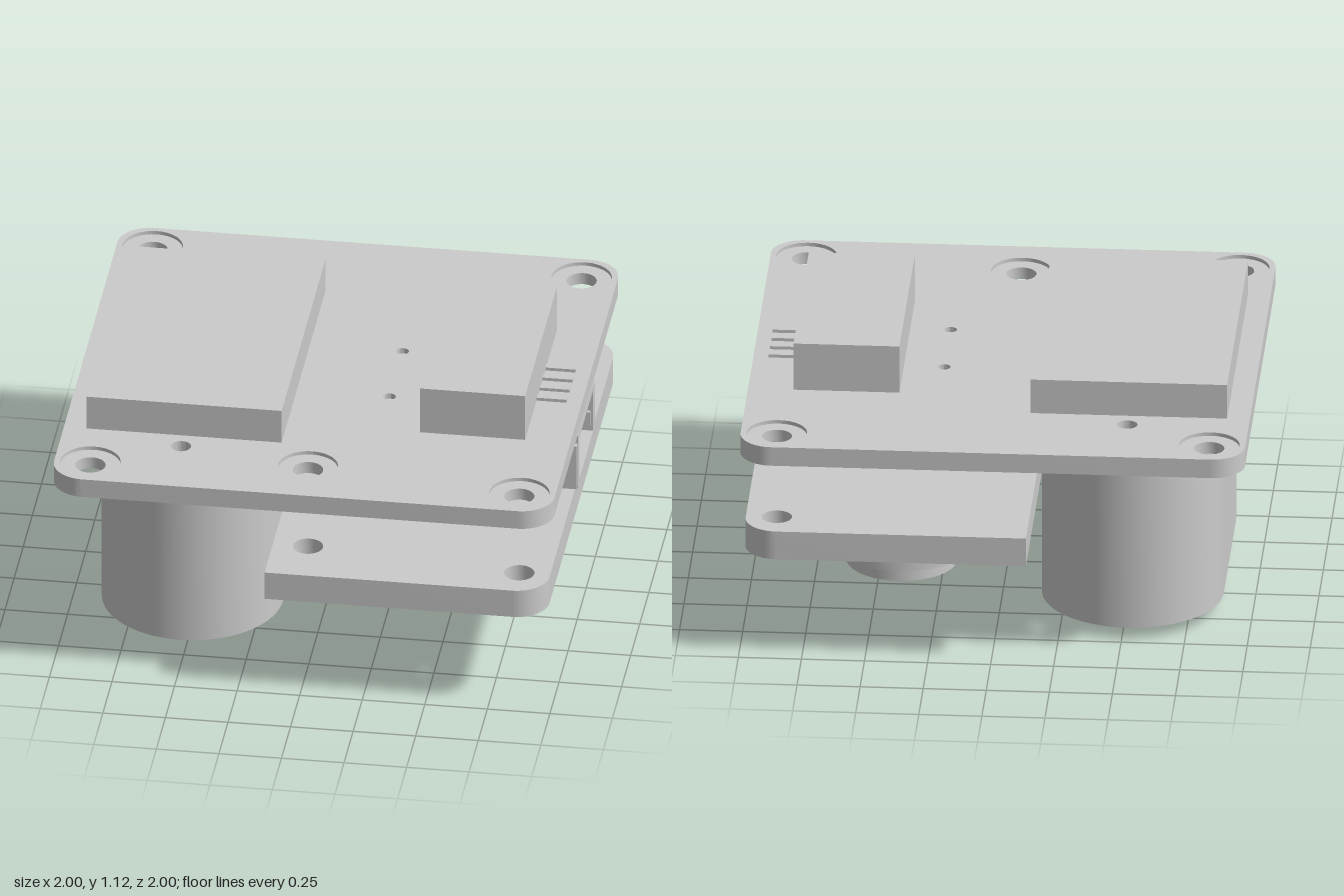
import * as THREE from 'three';
import { toCreasedNormals } from 'three/addons/utils/BufferGeometryUtils.js';

const material = new THREE.MeshStandardMaterial({ color: 0xcccccc });

// Rectangle outline with separate corner radii on its low and high first-axis side
function outline(x0, x1, y0, y1, rLow = 0, rHigh = 0) {
  const s = new THREE.Shape();
  s.moveTo(x0 + rLow, y0).lineTo(x1 - rHigh, y0);
  if (rHigh) s.absarc(x1 - rHigh, y0 + rHigh, rHigh, -Math.PI / 2, 0, false);
  s.lineTo(x1, y1 - rHigh);
  if (rHigh) s.absarc(x1 - rHigh, y1 - rHigh, rHigh, 0, Math.PI / 2, false);
  s.lineTo(x0 + rLow, y1);
  if (rLow) s.absarc(x0 + rLow, y1 - rLow, rLow, Math.PI / 2, Math.PI, false);
  s.lineTo(x0, y0 + rLow);
  if (rLow) s.absarc(x0 + rLow, y0 + rLow, rLow, Math.PI, Math.PI * 1.5, false);
  return s;
}

function circle(x, y, r) {
  return new THREE.Path().absarc(x, y, r, 0, Math.PI * 2, true);
}

function extrude(shape, depth) {
  const g = new THREE.ExtrudeGeometry(shape, { depth, bevelEnabled: false, curveSegments: 16 });
  return toCreasedNormals(g, 0.6);
}

export function createModel() {
  const model = new THREE.Group();

  const add = (name, geometry, parent = model) => {
    const mesh = new THREE.Mesh(geometry, material);
    mesh.name = name;
    parent.add(mesh);
    return mesh;
  };
  const group = (name) => {
    const g = new THREE.Group();
    g.name = name;
    model.add(g);
    return g;
  };
  // Box from its limits
  const box = (name, x0, x1, y0, y1, z0, z1, parent) =>
    add(name, new THREE.BoxGeometry(x1 - x0, y1 - y0, z1 - z0)
      .translate((x0 + x1) / 2, (y0 + y1) / 2, (z0 + z1) / 2), parent);
  // Horizontal plate from an (x, z) outline
  const plate = (name, shape, y0, y1, parent) =>
    add(name, extrude(shape, y1 - y0).rotateX(Math.PI / 2).translate(0, y1, 0), parent);
  // Prism along x from a (z, y) outline
  const prism = (name, shape, x0, x1, parent) =>
    add(name, extrude(shape, x1 - x0).rotateY(Math.PI / 2).translate(x0, 0, 0), parent);

  // Main board: three layers, the outer two with wider holes to recess the screw pads
  const board = group('mainBoard');
  const screws = [[-0.857, -0.857], [0.857, -0.857], [-0.857, 0.857], [0.857, 0.857], [0, 0.77]];
  const layers = [[0.835, 0.85, 0.12], [0.85, 0.9, 0.06], [0.9, 0.915, 0.12]];
  for (const [y0, y1, r] of layers) {
    const s = outline(-1, 1, -1, 1, 0.13, 0.13);
    for (const [x, z] of screws) s.holes.push(circle(x, z, r));
    for (const side of [-1, 1]) {
      s.holes.push(circle(-0.52, side * 0.685, 0.04));
      s.holes.push(circle(0.24, side * 0.18, 0.025));
    }
    plate('boardLayer', s, y0, y1, board);
  }

  // Components on top of the main board
  box('largeModule', -0.91, -0.13, 0.915, 1.06, -0.6, 0.6);
  box('smallModule', 0.4, 0.82, 0.915, 1.115, -0.44, 0.44);
  for (let i = 0; i < 4; i++) {
    const z = -0.125 + i * 0.08;
    box('contactPin', 0.82, 0.94, 0.913, 0.928, z - 0.012, z + 0.012);
  }

  // Twin-bore housing hanging under the main board
  const housing = outline(-0.88, -0.16, -0.72, 0.72, 0.36, 0.36);
  housing.holes.push(circle(-0.52, 0.36, 0.288), circle(-0.52, -0.36, 0.205));
  plate('twinBoreHousing', housing, 0.05, 0.836);

  // Lower board, rounded on its outer side only
  const lower = outline(-0.14, 0.98, -1, 1, 0, 0.13);
  for (const [x, z] of [[0.857, -0.857], [0.857, 0.857], [0, 0.77]]) {
    lower.holes.push(circle(x, z, 0.06));
  }
  plate('lowerBoard', lower, 0.43, 0.55);

  // Lens unit: mount block, hollow barrel and inner lens
  const lens = group('lensUnit');
  box('lensMount', 0.1, 0.74, 0.235, 0.43, -0.32, 0.32, lens);
  const barrel = new THREE.Shape().absarc(0.42, 0, 0.312, 0, Math.PI * 2, false);
  barrel.holes.push(circle(0.42, 0, 0.262));
  plate('lensBarrel', barrel, 0.083, 0.235, lens);
  add('lens', new THREE.CylinderGeometry(0.222, 0.222, 0.235, 32).translate(0.42, 0.1175, 0), lens);

  // Outer connector, opening towards +x
  const outer = group('outerConnector');
  const shell = outline(-0.225, 0.225, 0.585, 0.825);
  shell.holes.push(outline(-0.19, 0.19, 0.61, 0.795));
  prism('connectorShell', shell, 0.7, 1, outer);
  box('connectorBack', 0.65, 0.72, 0.63, 0.825, -0.225, 0.225, outer);
  for (const s of [-1, 1]) {
    box('sideTab', 0.7, 0.998, 0.595, 0.79, s * 0.237 - 0.014, s * 0.237 + 0.014, outer);
    box('guideRib', 0.75, 0.99, 0.64, 0.7, s * 0.185 - 0.008, s * 0.185 + 0.008, outer);
  }

  // Inner connector, opening towards -x, with locating pegs in the main board
  const inner = group('innerConnector');
  const innerShell = outline(-0.225, 0.225, 0.567, 0.825);
  innerShell.holes.push(outline(-0.19, 0.19, 0.61, 0.795));
  prism('connectorShell', innerShell, 0.18, 0.46, inner);
  box('connectorBack', 0.45, 0.5, 0.567, 0.825, -0.225, 0.225, inner);
  box('latch', 0.16, 0.19, 0.67, 0.76, -0.22, -0.195, inner);
  box('latch', 0.16, 0.19, 0.67, 0.76, 0.195, 0.22, inner);
  for (const s of [-1, 1]) {
    add('locatingPeg', new THREE.CylinderGeometry(0.02, 0.02, 0.08, 12)
      .translate(0.24, 0.855, s * 0.18), inner);
  }

  // Contacts inside both connectors
  for (let i = 0; i < 4; i++) {
    const z = -0.12 + i * 0.08;
    box('contact', 0.72, 0.93, 0.655, 0.69, z - 0.012, z + 0.012, outer);
    box('contact', 0.25, 0.46, 0.655, 0.69, z - 0.012, z + 0.012, inner);
  }

  return model;
}
